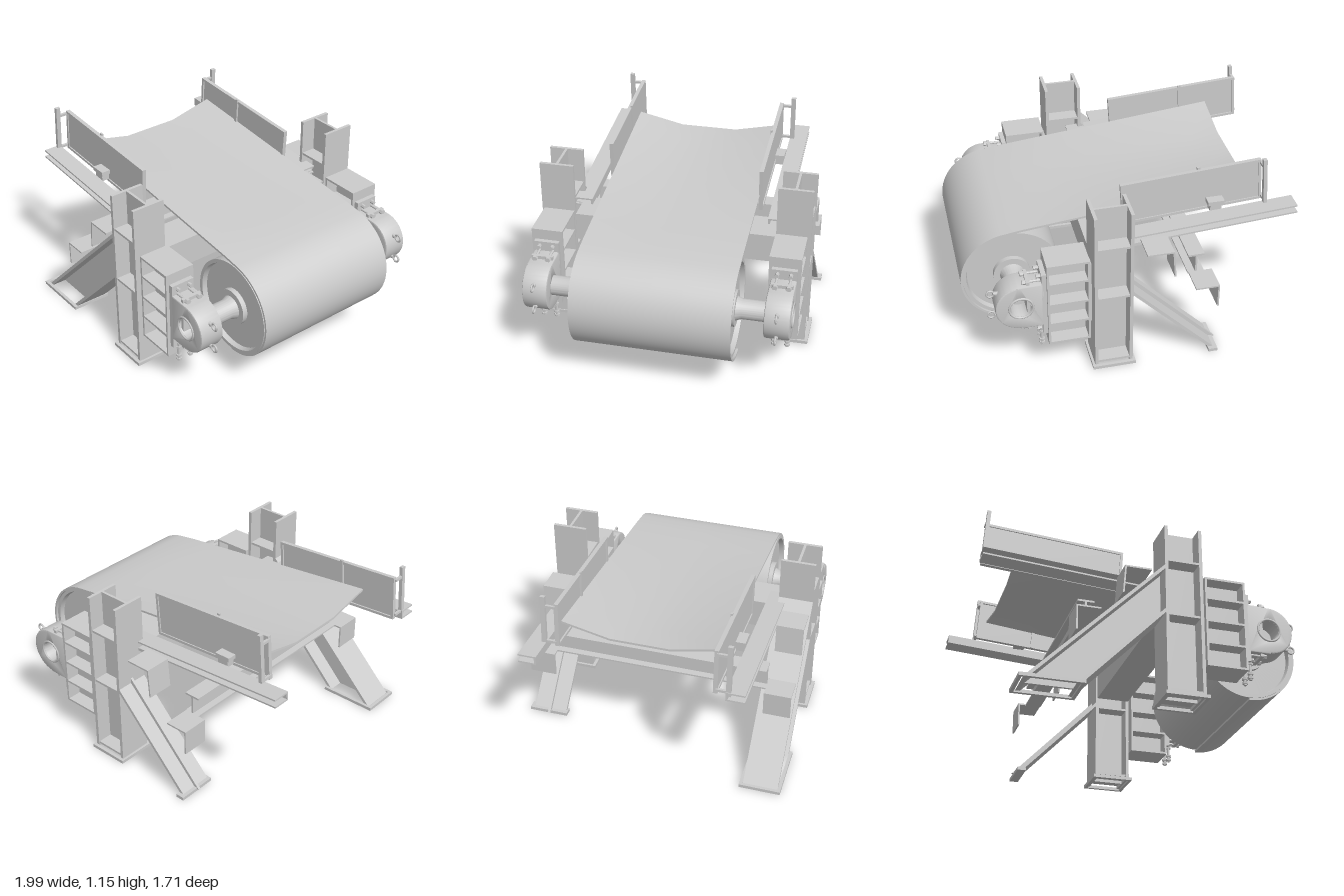
import * as THREE from 'three';
import { toCreasedNormals } from 'three/addons/utils/BufferGeometryUtils.js';

const grey = new THREE.MeshStandardMaterial({ color: 0xcccccc });
const sheet = new THREE.MeshStandardMaterial({ color: 0xcccccc, side: THREE.DoubleSide });
const CX = 0.69, CY = 0.505, MID = -0.01; // pulley axis and belt centre line
const TILT = -0.068;

function add(parent, name, geo, x = 0, y = 0, z = 0, mat = grey) {
  const m = new THREE.Mesh(geo, mat);
  m.name = name;
  m.position.set(x, y, z);
  parent.add(m);
  return m;
}

// Box given by its limits
function box(p, name, x0, x1, y0, y1, z0, z1) {
  return add(p, name, new THREE.BoxGeometry(x1 - x0, y1 - y0, Math.abs(z1 - z0)),
    (x0 + x1) / 2, (y0 + y1) / 2, (z0 + z1) / 2);
}

// Side-view outline extruded between two z values
function prism(p, name, shape, z0, z1) {
  const s = Array.isArray(shape) ? new THREE.Shape(shape.map(q => new THREE.Vector2(...q))) : shape;
  const g = new THREE.ExtrudeGeometry(s, { depth: Math.abs(z1 - z0), bevelEnabled: false, curveSegments: 24 });
  return add(p, name, g, 0, 0, Math.min(z0, z1));
}

function rod(p, name, r, len, axis, x, y, z, sides = 12) {
  const g = new THREE.CylinderGeometry(r, r, len, sides);
  if (axis === 'x') g.rotateZ(Math.PI / 2);
  if (axis === 'z') g.rotateX(Math.PI / 2);
  return add(p, name, toCreasedNormals(g, 0.7), x, y, z);
}

// Open rectangular foot frame lying on the ground
function foot(p, x0, x1, s) {
  const b = 0.02, za = 0.6, zb = 0.85;
  box(p, 'footEdge', x0, x1, 0, 0.02, s * za, s * (za + b));
  box(p, 'footEdge', x0, x1, 0, 0.02, s * (zb - b), s * zb);
  box(p, 'footEdge', x0, x0 + b, 0, 0.02, s * (za + b), s * (zb - b));
  box(p, 'footEdge', x1 - b, x1, 0, 0.02, s * (za + b), s * (zb - b));
}

function column(p, s) {
  const g = new THREE.Group(); g.name = 'column'; p.add(g);
  box(g, 'columnFlange', 0.04, 0.06, 0.01, 1.083, s * 0.62, s * 0.83);
  box(g, 'columnFlange', 0.25, 0.27, 0.01, 1.083, s * 0.62, s * 0.83);
  box(g, 'columnWeb', 0.06, 0.25, 0.01, 1.083, s * 0.717, s * 0.733);
  for (const y of [0.03, 0.5, 0.85]) box(g, 'columnStiffener', 0.06, 0.25, y, y + 0.014, s * 0.625, s * 0.825);
  foot(g, 0.025, 0.285, s);
}

// Diagonal brace: full beam in front, only the lower flange and a web strip at the back
function brace(p, s) {
  const g = new THREE.Group(); g.name = 'diagonalBrace'; p.add(g);
  const t = 0.027, a = s * 0.62, b = s * 0.83;
  prism(g, 'braceLowerFlange', [[-0.445, 0.01], [0.04, 0.51], [0.04, 0.51 + t], [-0.445 - t, 0.01]], a, b);
  if (s > 0) {
    prism(g, 'braceUpperFlange', [[-0.77 + t, 0.01], [0.04, 0.82 - t], [0.04, 0.82], [-0.77, 0.01]], a, b);
    prism(g, 'braceWeb', [[-0.445, 0.01], [0.04, 0.52], [0.04, 0.81], [-0.76, 0.01]], s * 0.717, s * 0.733);
    foot(g, -0.8, -0.43, s);
  } else {
    prism(g, 'braceWeb', [[-0.46, 0.01], [0.04, 0.52], [0.04, 0.57], [-0.5, 0.01]], s * 0.717, s * 0.733);
    box(g, 'footStrip', -0.485, -0.43, 0, 0.02, s * 0.61, s * 0.855);
  }
}

// Shelved bracket between column and bearing
function bearingMount(p, s) {
  const g = new THREE.Group(); g.name = 'bearingMount'; p.add(g);
  const a = s * 0.62, b = s * 0.81;
  for (const x of [0.29, 0.527]) box(g, 'mountWall', x, x + 0.013, 0.22, 0.787, a, b);
  for (const y of [0.22, 0.36, 0.5, 0.645, 0.774]) box(g, 'mountShelf', 0.303, 0.527, y, y + 0.013, a, b);
  box(g, 'mountWeb', 0.303, 0.527, 0.22, 0.787, s * 0.71, s * 0.722);
  box(g, 'mountTie', 0.27, 0.29, 0.3, 0.72, s * 0.68, s * 0.75);
}

function bearing(p, s) {
  const g = new THREE.Group(); g.name = 'bearing'; p.add(g);
  const shape = new THREE.Shape();
  shape.moveTo(0.56, 0.36);
  shape.lineTo(0.69, 0.36);
  shape.absarc(CX, CY, 0.14, -Math.PI / 2, Math.PI / 2, false);
  shape.lineTo(0.56, 0.65);
  shape.closePath();
  const hole = new THREE.Path();
  hole.absarc(CX, CY, 0.068, 0, Math.PI * 2, true);
  shape.holes.push(hole);
  const geo = new THREE.ExtrudeGeometry(shape, { depth: 0.13, bevelSize: 0.008, bevelThickness: 0.01, bevelSegments: 2, curveSegments: 24 });
  add(g, 'bearingHousing', toCreasedNormals(geo, 0.6), 0, 0, s > 0 ? 0.65 : -0.78);
  box(g, 'bearingBase', 0.54, 0.568, 0.29, 0.72, s * 0.64, s * 0.79);
  box(g, 'capFlange', 0.635, 0.655, 0.335, 0.675, s * 0.65, s * 0.78);
  add(g, 'boreRing', new THREE.TorusGeometry(0.069, 0.007, 8, 32), CX, CY, s * 0.79);
  for (const z of [0.675, 0.755]) {
    for (const y of [0.345, 0.665]) {
      rod(g, 'capBolt', 0.008, 0.1, 'x', 0.62, y, s * z);
      rod(g, 'capNut', 0.017, 0.02, 'x', 0.667, y, s * z, 6);
    }
    for (const y of [0.312, 0.695]) rod(g, 'baseBolt', 0.012, 0.035, 'x', 0.578, y, s * z, 6);
    rod(g, 'adjustingScrew', 0.009, 0.13, 'y', 0.572, 0.25, s * z);
    for (const y of [0.2, 0.225, 0.285]) rod(g, 'adjustingNut', 0.017, 0.014, 'y', 0.572, y, s * z, 6);
  }
  for (const y of [0.43, 0.58]) {
    add(g, 'liftingEye', new THREE.TorusGeometry(0.021, 0.006, 8, 20), 0.855, y, s * 0.715);
    rod(g, 'eyeStem', 0.012, 0.03, 'x', 0.822, y, s * 0.715);
  }
}

// Sloping side channel with its guard panel
function sideRail(p, s) {
  const rail = new THREE.Group(); rail.name = 'stringer'; p.add(rail);
  rail.position.set(-0.43, 0.8, 0); rail.rotation.z = TILT;
  box(rail, 'stringerWeb', -0.565, 0.565, -0.027, 0.027, s * 0.55, s * 0.562);
  for (const y of [-0.027, 0.017]) box(rail, 'stringerFlange', -0.565, 0.565, y, y + 0.01, s * 0.562, s * 0.66);
  box(p, 'stringerSeat', -0.05, 0.12, 0.735, 0.75, s * 0.55, s * 0.66);

  const g = new THREE.Group(); g.name = 'guardPanel'; p.add(g);
  g.position.set(s > 0 ? -0.545 : -0.39, 0.945, 0); g.rotation.z = TILT;
  const w = 0.425, h = 0.138, a = s * 0.475, b = s * 0.5;
  box(g, 'guardSheet', -w, w, -h, h, s * 0.485, s * 0.493);
  for (const y of [-h, h - 0.016]) box(g, 'guardRim', -w, w, y, y + 0.016, a, b);
  for (const x of [-w, w - 0.016]) box(g, 'guardRim', x, x + 0.016, -h, h, a, b);
  box(g, 'guardPost', -w - 0.01, -w + 0.012, -h, 0.18, s * 0.55, s * 0.578);
  for (const y of [-0.12, 0.11]) box(g, 'guardArm', -w - 0.008, -w + 0.008, y, y + 0.015, s * 0.49, s * 0.56);
  box(g, 'guardClip', -0.06, -0.04, -h, h + 0.012, s * 0.47, s * 0.482);

  // small switch housing
  const sw = new THREE.Group(); sw.name = 'switchBox'; p.add(sw);
  box(sw, 'switchBody', -0.56, -0.49, 0.825, 0.885, s * 0.5, s * 0.55);
  box(sw, 'switchLid', -0.575, -0.475, 0.87, 0.895, s * 0.5, s * 0.558);
}

// Stepped angle brackets carried by the cross beam
function steps(p, s) {
  const a = s * 0.66, b = s * 0.825;
  box(p, 'stepPlate', -0.48, -0.34, 0.474, 0.484, a, b);
  box(p, 'stepDrop', -0.485, -0.475, 0.33, 0.484, a, b);
  box(p, 'upperStepPlate', -0.2, -0.04, 0.77, 0.78, a, b);
  prism(p, 'upperStepDrop', [[-0.215, 0.6], [-0.205, 0.6], [-0.19, 0.78], [-0.2, 0.78]], a, b);
}

// Belt: troughed at the tail, flat at the drum, wrapped half way round it
function beltGeometry() {
  const path = [];
  for (let i = 0; i <= 8; i++) {
    const t = i / 8;
    path.push([-0.76 + 1.38 * t, 0.905 - 0.08 * t, 0.065 * (1 - t), 0.06, 1]);
  }
  for (let i = 0; i <= 36; i++) {
    const a = (82 - 172 * i / 36) * Math.PI / 180, c = Math.cos(a), s = Math.sin(a);
    path.push([CX + 0.307 * c, CY + 0.307 * s, 0, c, s]);
  }
  const across = [-0.47, -0.18, 0, 0.18, 0.47], pos = [], idx = [], N = 10, T = 0.013;
  for (const [x, y, rise, nx, ny] of path) {
    for (let k = 0; k < N; k++) {
      const z = across[k < 5 ? k : 9 - k], d = k < 5 ? 0 : T;
      pos.push(x - nx * d, y - ny * d + (Math.abs(z) > 0.4 ? rise : 0), z + MID);
    }
  }
  for (let i = 0; i < path.length - 1; i++) for (let k = 0; k < N; k++) {
    const a = i * N + k, b = i * N + (k + 1) % N;
    idx.push(a, b, a + N, b, b + N, a + N);
  }
  for (const o of [0, (path.length - 1) * N]) for (let k = 0; k < 4; k++) {
    const q = [o + k, o + k + 1, o + 8 - k, o + 9 - k];
    idx.push(...(o ? [q[0], q[1], q[2], q[0], q[2], q[3]] : [q[0], q[2], q[1], q[0], q[3], q[2]]));
  }
  const g = new THREE.BufferGeometry();
  g.setAttribute('position', new THREE.Float32BufferAttribute(pos, 3));
  g.setIndex(idx);
  return toCreasedNormals(g, 0.35);
}

export function createModel() {
  const model = new THREE.Group();
  model.name = 'conveyorHead';

  add(model, 'belt', beltGeometry(), 0, 0, 0, sheet);

  // Drum with recessed ends, hubs and stepped shaft
  const half = [[0, 0.68], [0.06, 0.68], [0.06, 0.5], [0.072, 0.465], [0.11, 0.465], [0.11, 0.435], [0.265, 0.435], [0.272, 0.465], [0.294, 0.465]];
  const profile = [...half.map(([r, y]) => [r, -y]), ...half.slice().reverse()].map(q => new THREE.Vector2(...q));
  const drum = new THREE.LatheGeometry(profile, 64);
  drum.rotateX(Math.PI / 2);
  add(model, 'drum', toCreasedNormals(drum, 0.4), CX, CY, 0, sheet);

  for (const s of [1, -1]) {
    column(model, s);
    brace(model, s);
    bearingMount(model, s);
    bearing(model, s);
    sideRail(model, s);
    steps(model, s);
  }

  // Cross members
  box(model, 'columnCrossBeam', 0.05, 0.265, 0.57, 0.75, -0.62, 0.62);
  box(model, 'crossBeamTop', -0.435, -0.335, 0.595, 0.607, -0.66, 0.66);
  box(model, 'crossBeamWeb', -0.392, -0.38, 0.484, 0.595, -0.66, 0.66);
  box(model, 'crossBeamBottom', -0.435, -0.335, 0.474, 0.484, -0.66, 0.66);
  return model;
}
